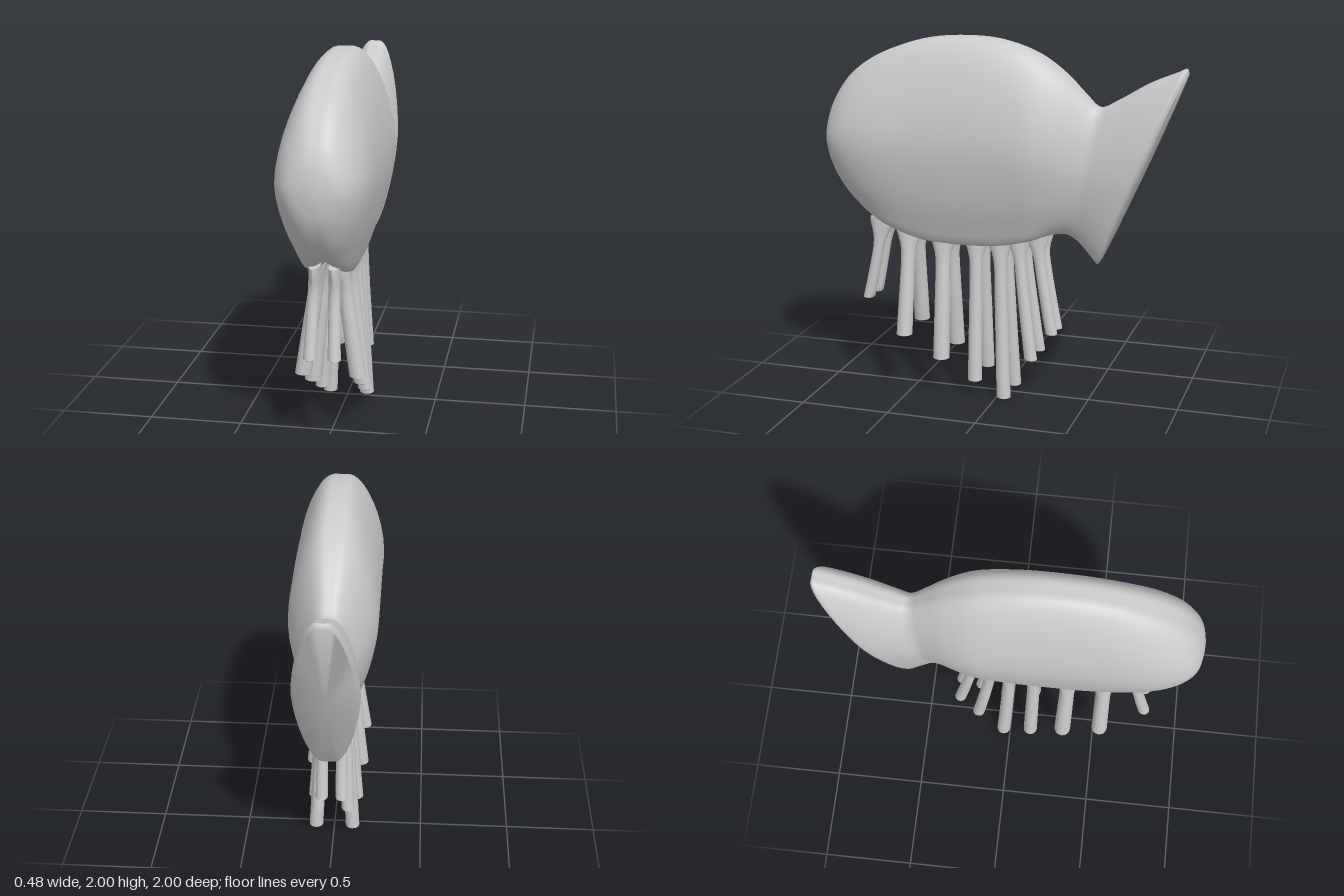
import * as THREE from 'three';
import { toCreasedNormals } from 'three/addons/utils/BufferGeometryUtils.js';

const material = new THREE.MeshStandardMaterial({ color: 0xcccccc });

// Skins a list of closed rings and closes both ends with fans.
function loft(rings) {
  const n = rings[0].length;
  const last = (rings.length - 1) * n;
  const points = rings.flat();
  const index = [];
  for (let i = 0; i < rings.length - 1; i++) {
    for (let j = 0; j < n; j++) {
      const a = i * n + j, b = i * n + (j + 1) % n;
      index.push(a, b, a + n, b, b + n, a + n);
    }
  }
  const centre = ring => ring.reduce((sum, p) => sum.add(p), new THREE.Vector3()).divideScalar(n);
  const first = points.push(centre(rings[0])) - 1;
  const end = points.push(centre(rings[rings.length - 1])) - 1;
  for (let j = 0; j < n; j++) {
    const k = (j + 1) % n;
    index.push(first, k, j, end, last + j, last + k);
  }
  const geometry = new THREE.BufferGeometry().setFromPoints(points);
  geometry.setIndex(index);
  return toCreasedNormals(geometry, 0.85);
}

function addMesh(parent, name, geometry) {
  const mesh = new THREE.Mesh(geometry, material);
  mesh.name = name;
  parent.add(mesh);
}

// Half outlines of a section: [across, up]; the belly one has a groove between the legs.
const upper = [[0, 1], [0.25, 0.99], [0.5, 0.87], [0.83, 0.5], [1, 0], [0.83, -0.5]];
const plain = [...upper, [0.55, -0.84], [0.3, -0.98], [0.15, -1], [0, -1]];
const belly = [...upper, [0.6, -0.82], [0.44, -0.98], [0.2, -0.97], [0, -0.86]];

function sectionPoints(groove) {
  const half = plain.map(([x, y], i) => new THREE.Vector3(
    THREE.MathUtils.lerp(x, belly[i][0], groove), THREE.MathUtils.lerp(y, belly[i][1], groove), 0));
  const other = half.slice(1, -1).reverse().map(p => new THREE.Vector3(-p.x, p.y, 0));
  return new THREE.CatmullRomCurve3([...half, ...other], true).getPoints(54).slice(0, -1);
}

// Body stations from nose to tail: half width, top z, top y, bottom z, bottom y.
const stations = [
  [0.05, 0.998, 1.49, 0.998, 1.37],
  [0.12, 0.98, 1.57, 0.98, 1.29],
  [0.17, 0.94, 1.66, 0.94, 1.20],
  [0.215, 0.85, 1.78, 0.85, 1.08],
  [0.24, 0.7, 1.885, 0.7, 0.97],
  [0.24, 0.45, 1.975, 0.45, 0.875],
  [0.24, 0.2, 2, 0.2, 0.86],
  [0.24, 0, 1.985, 0, 0.87],
  [0.235, -0.2, 1.92, -0.18, 0.91],
  [0.2, -0.35, 1.82, -0.29, 0.945],
  [0.16, -0.46, 1.715, -0.37, 0.955],
  [0.14, -0.54, 1.65, -0.42, 0.93],
  [0.15, -0.63, 1.69, -0.465, 0.89],
  [0.165, -0.8, 1.79, -0.51, 0.84],
  [0.172, -0.94, 1.85, -0.535, 0.81],
  [0.168, -0.99, 1.87, -0.545, 0.80],
  [0.155, -1, 1.845, -0.557, 0.815],
];

function bodyGeometry() {
  const topCurve = new THREE.CatmullRomCurve3(stations.map(s => new THREE.Vector3(s[0], s[2], s[1])));
  const lowCurve = new THREE.CatmullRomCurve3(stations.map(s => new THREE.Vector3(0, s[4], s[3])));
  const rings = [];
  const steps = 80;
  for (let i = 0; i <= steps; i++) {
    const top = topCurve.getPoint(i / steps), low = lowCurve.getPoint(i / steps);
    const groove = THREE.MathUtils.smoothstep(low.z, -0.35, -0.15)
      * (1 - THREE.MathUtils.smoothstep(low.z, 0.65, 0.85));
    rings.push(sectionPoints(groove).map(p => new THREE.Vector3(
      p.x * top.x,
      THREE.MathUtils.lerp(low.y, top.y, (p.y + 1) / 2),
      THREE.MathUtils.lerp(low.z, top.z, (p.y + 1) / 2))));
  }
  return loft(rings);
}

// Legs from front to back: root x, root y, root z, tip x, tip y, tip z, tip radius.
const legs = [
  [0.05, 0.98, 0.68, 0.063, 0.51, 0.77, 0.034],
  [0.055, 0.95, 0.52, 0.145, 0.335, 0.53, 0.045],
  [0.06, 0.93, 0.32, 0.135, 0.215, 0.315, 0.047],
  [0.06, 0.93, 0.13, 0.12, 0.10, 0.123, 0.04],
  [0.06, 0.93, -0.005, 0.105, 0.01, -0.04, 0.04],
  [0.06, 0.95, -0.105, 0.085, 0.24, -0.19, 0.036],
  [0.05, 0.97, -0.205, 0.055, 0.39, -0.298, 0.034],
];

// A leg flares into the belly, is slim in the middle and ends in a blunt tip.
function legGeometry([rx, ry, rz, tx, ty, tz, radius], side) {
  const root = new THREE.Vector3(rx * side, ry, rz), tip = new THREE.Vector3(tx * side, ty, tz);
  const bend = root.clone().lerp(tip, 0.4);
  bend.z += (rz - tz) * 0.1;
  const curve = new THREE.QuadraticBezierCurve3(root, bend, tip);
  const rings = [];
  const steps = 16, sides = 12;
  const addRing = (centre, r, flare) => {
    const ring = [];
    for (let j = 0; j < sides; j++) {
      const a = j / sides * Math.PI * 2;
      ring.push(new THREE.Vector3(
        centre.x + Math.sin(a) * r,
        centre.y + Math.cos(a) * r * (tz - rz) * 0.6,
        centre.z - Math.cos(a) * (r + flare)));
    }
    rings.push(ring);
  };
  for (let i = 0; i <= steps; i++) {
    const t = i / steps;
    const depth = (ry - ty) * t;
    const flare = 0.05 * Math.exp(-Math.pow(depth / 0.11, 2));
    addRing(curve.getPoint(t), radius * (0.82 + 0.18 * t), flare);
  }
  addRing(tip.clone().setY(ty - 0.006), radius * 0.75, 0);
  return loft(rings);
}

export function createModel() {
  const model = new THREE.Group();
  model.name = 'creature';
  addMesh(model, 'bodyAndTail', bodyGeometry());
  for (const side of [1, -1]) {
    const row = new THREE.Group();
    row.name = side > 0 ? 'leftLegs' : 'rightLegs';
    legs.forEach((leg, i) => addMesh(row, `leg${i + 1}`, legGeometry(leg, side)));
    model.add(row);
  }
  return model;
}
